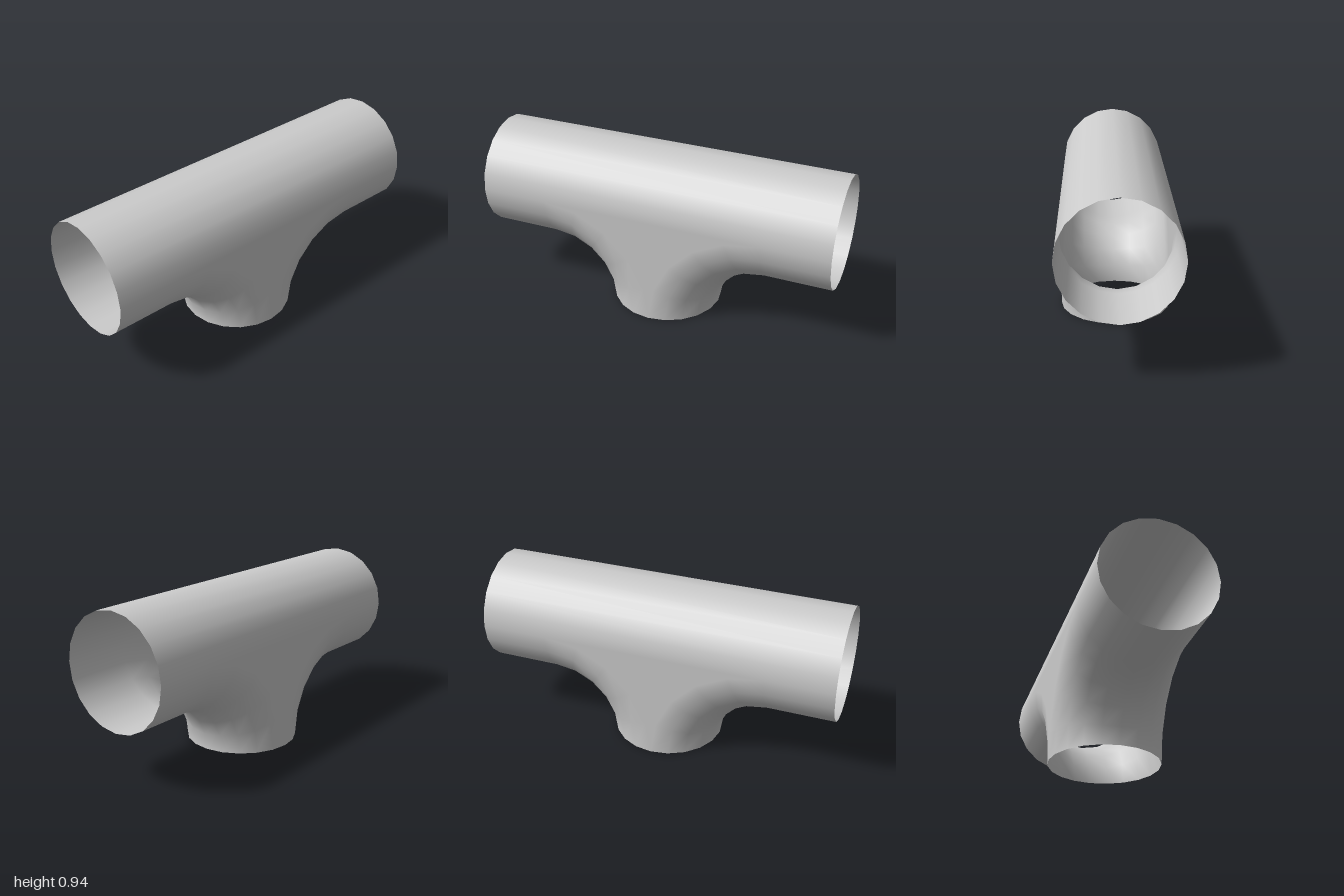
import * as THREE from 'three';

const R = 0.3125;        // pipe radius
const BEND = 2 * R;      // centreline radius of the branch bends, also the run's axis height
const SIDES = 20;
const STEPS = 5;         // segments along each bend

const material = new THREE.MeshStandardMaterial({ color: 0xcccccc, side: THREE.DoubleSide });

function add(parent, name, geometry) {
  const mesh = new THREE.Mesh(geometry, material);
  mesh.name = name;
  parent.add(mesh);
}

// Half of an open pipe lying along x, from x0 to x1
function halfPipe(x0, x1, start) {
  return new THREE.CylinderGeometry(R, R, x1 - x0, SIDES / 2, 1, true, start, Math.PI)
    .rotateZ(Math.PI / 2)
    .translate((x0 + x1) / 2, BEND, 0);
}

// Inner half of a quarter-turn elbow, from the branch mouth up to the run
function innerElbow(side) {
  const profile = [];
  for (let i = 0; i <= SIDES / 2; i++) {
    const a = (i / (SIDES / 2)) * Math.PI;
    profile.push(new THREE.Vector2(BEND - R * Math.sin(a), R * Math.cos(a)));
  }
  const start = side > 0 ? Math.PI : Math.PI / 2;
  const geometry = new THREE.LatheGeometry(profile, STEPS, start, Math.PI / 2);
  // Exact tube normals, so the bend blends into the run and the flat cheeks
  const { position, normal } = geometry.attributes;
  const p = new THREE.Vector3(), centre = new THREE.Vector3();
  for (let i = 0; i < position.count; i++) {
    p.fromBufferAttribute(position, i);
    centre.set(p.x, 0, p.z).setLength(BEND);
    p.sub(centre).normalize();
    normal.setXYZ(i, p.x, p.y, p.z);
  }
  return geometry.rotateX(Math.PI / 2).translate(side * BEND, 0, 0);
}

// Flat web between the two bends
function cheek() {
  const right = [];
  for (let i = 0; i <= STEPS; i++) {
    const t = (i / STEPS) * Math.PI / 2;
    right.push(new THREE.Vector2(BEND * (1 - Math.cos(t)), BEND * Math.sin(t)));
  }
  const left = right.slice(1).reverse().map((v) => new THREE.Vector2(-v.x, v.y));
  return new THREE.ShapeGeometry(new THREE.Shape([...right, ...left]));
}

export function createModel() {
  const group = new THREE.Group();
  group.name = 'pipeTee';

  // Straight run: full upper half, lower half only beyond the branch
  add(group, 'runUpperHalf', halfPipe(-1, 1, 0));
  add(group, 'runLowerLeft', halfPipe(BEND, 1, Math.PI));
  add(group, 'runLowerRight', halfPipe(-1, -BEND, Math.PI));

  // Branch: two bends joined by flat cheeks at front and back
  add(group, 'branchBendLeft', innerElbow(1));
  add(group, 'branchBendRight', innerElbow(-1));
  add(group, 'cheekFront', cheek().translate(0, 0, R));
  add(group, 'cheekBack', cheek().rotateY(Math.PI).translate(0, 0, -R));

  return group;
}
